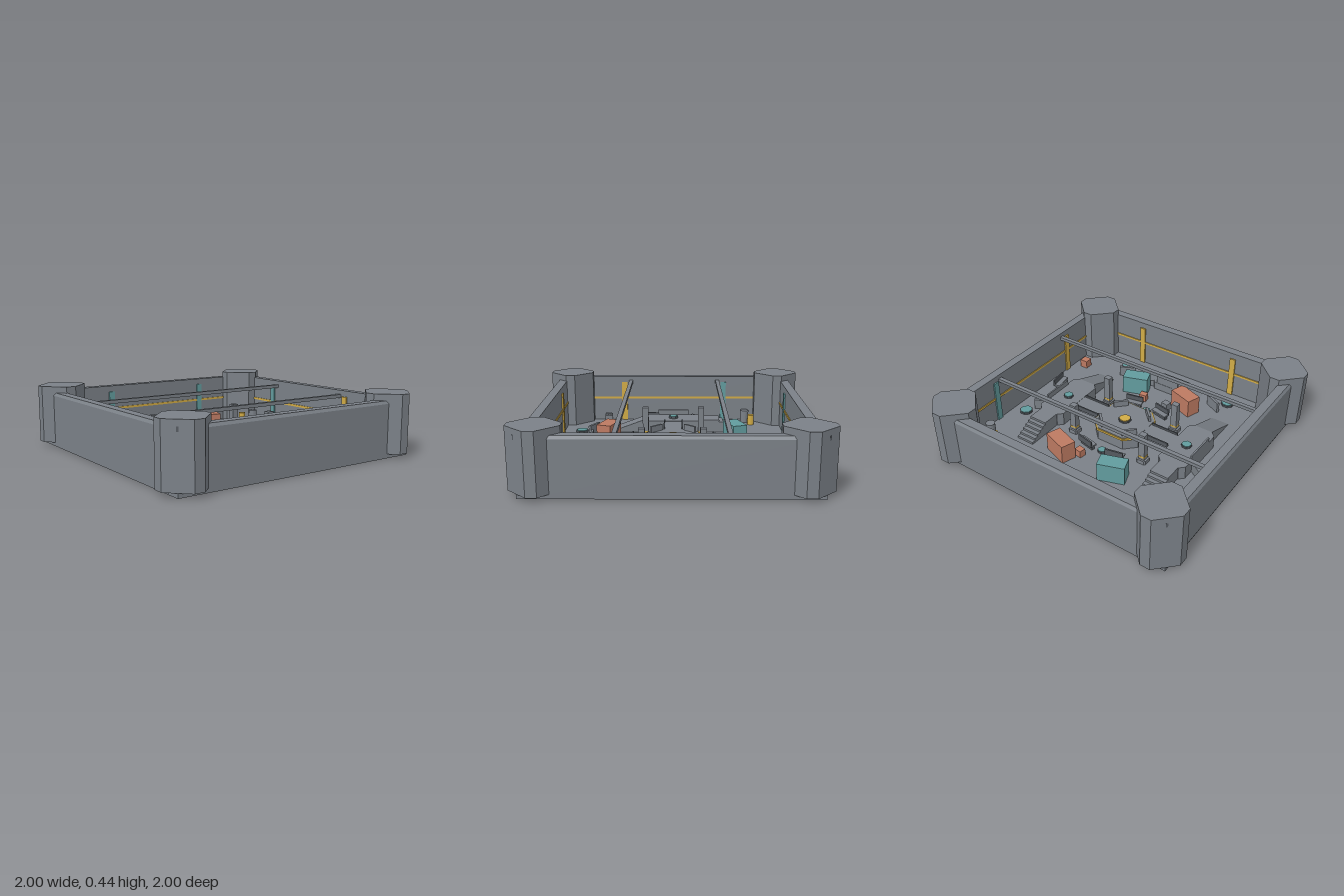
import * as THREE from 'three';

const paint = (name, color) => {
  const m = new THREE.MeshStandardMaterial({ color });
  m.name = name;
  return m;
};

export function createModel() {
  const grey = paint('concrete grey', 0x7b8188);
  const dark = paint('dark steel', 0x54595f);
  const teal = paint('teal', 0x629c9e);
  const salmon = paint('salmon', 0xbd7a62);
  const yellow = paint('yellow', 0xd2ac46);
  const model = new THREE.Group();
  const FLOOR = 0.03, DECK = 0.13;

  const add = (name, geo, mat, x = 0, y = 0, z = 0, deg = 0, parent = model) => {
    const mesh = new THREE.Mesh(geo, mat);
    mesh.name = name;
    mesh.position.set(x, y, z);
    mesh.rotation.y = THREE.MathUtils.degToRad(deg);
    parent.add(mesh);
    return mesh;
  };
  // Box standing on height y
  const box = (name, mat, w, h, d, x, y, z, deg, parent) =>
    add(name, new THREE.BoxGeometry(w, h, d), mat, x, y + h / 2, z, deg, parent);
  // Faceted drum standing on height y
  const drum = (name, mat, r, h, x, y, z, sides = 8, rTop = r) => {
    const geo = new THREE.CylinderGeometry(rTop, r, h, sides).toNonIndexed();
    geo.computeVertexNormals();
    geo.rotateY(Math.PI / sides);
    return add(name, geo, mat, x, y + h / 2, z);
  };
  const shapeOf = pts => new THREE.Shape(pts.map(p => new THREE.Vector2(p[0], p[1])));
  // Plan outline [x, z] raised from y0 to y1
  const slab = (name, mat, pts, y0, y1, x = 0, z = 0) => {
    const geo = new THREE.ExtrudeGeometry(shapeOf(pts.map(p => [p[0], -p[1]])), { depth: y1 - y0, bevelEnabled: false });
    geo.rotateX(-Math.PI / 2);
    return add(name, geo, mat, x, y0, z);
  };
  // Side profile [z, y] swept along x
  const sweep = (pts, width) => {
    const geo = new THREE.ExtrudeGeometry(shapeOf(pts), { depth: width, bevelEnabled: false });
    geo.translate(0, 0, -width / 2);
    return geo.rotateY(-Math.PI / 2);
  };
  // Rectangle with cut corners
  const cutRect = (a, b, ca, cb = ca) => [
    [a, b - cb], [a - ca, b], [ca - a, b], [-a, b - cb],
    [-a, cb - b], [ca - a, -b], [a - ca, -b], [a, cb - b]];

  // Floor
  box('floor', grey, 1.87, FLOOR, 1.87, 0, 0, 0);

  // Four walls with light strips and wall posts
  const wallProfile = [[0.86, 0.01], [0.938, 0.01], [0.938, 0.375], [0.925, 0.395], [0.86, 0.395]];
  for (let i = 0; i < 4; i++) {
    const side = new THREE.Group();
    side.name = 'wallSide';
    side.rotation.y = i * Math.PI / 2;
    model.add(side);
    add('wall', sweep(wallProfile, 1.68), grey, 0, 0, 0, 0, side);
    box('wallStrip', yellow, 1.36, 0.016, 0.008, 0, 0.21, 0.857, 0, side);
    for (const s of [-1, 1]) {
      const front = i === 0 || (i === 1 && s < 0) || (i === 3 && s > 0);
      box('wallPost', front ? yellow : teal, 0.045, 0.32, 0.012, s * 0.41, FLOOR, 0.855, 0, side);
    }
  }

  // Corner towers with a slot on the outer face
  for (const sx of [-1, 1]) for (const sz of [-1, 1]) {
    slab('cornerTower', grey, cutRect(0.168, 0.168, 0.133), FLOOR, 0.44, sx * 0.832, sz * 0.832);
    box('towerSlot', dark, 0.012, 0.03, 0.006, sx * 0.932, 0.37, sz * 0.932, sx * sz * 45);
  }

  // Overhead beams
  for (const z of [-0.36, 0.355]) box('overheadBeam', grey, 1.72, 0.025, 0.03, 0, 0.34, z);

  // Central octagonal deck with a yellow edge
  slab('centralDeck', grey, cutRect(0.187, 0.187, 0.08), FLOOR, DECK);
  slab('deckEdge', yellow, cutRect(0.195, 0.195, 0.083), DECK - 0.02, DECK - 0.004);
  drum('centralPad', dark, 0.048, 0.012, 0, DECK, 0);
  drum('centralPadTop', yellow, 0.04, 0.008, 0, DECK + 0.01, 0);

  for (const s of [-1, 1]) {
    // Bridges and rails
    box('bridge', grey, 0.24, 0.02, 0.13, s * 0.3, DECK - 0.022, 0);
    for (const t of [-1, 1])
      box('bridgeRail', dark, 0.215, 0.035, 0.01, s * 0.3, DECK - 0.022, t * 0.068);

    // Side decks
    slab('sideDeck', grey, cutRect(0.108, 0.232, 0.035), FLOOR, DECK, s * 0.522, 0);
    box('sideRail', grey, 0.012, 0.05, 0.24, s * 0.625, DECK - 0.01, 0);

    // Stairs behind and ramp in front of each side deck
    const steps = 6, stair = [[-0.2, FLOOR], [-0.51, FLOOR]];
    for (let i = 0; i < steps; i++) {
      const y = FLOOR + (i + 1) * (DECK - FLOOR) / steps;
      stair.push([-0.51 + i * 0.03, y], [i < steps - 1 ? -0.48 + i * 0.03 : -0.2, y]);
    }
    add('stairs', sweep(stair, 0.14), grey, s * 0.522, 0, 0);
    add('ramp', sweep([[0.2, FLOOR], [0.5, FLOOR], [0.23, DECK], [0.2, DECK]], 0.14), grey, s * 0.522, 0, 0);

    // Ramps of the front deck
    const end = new THREE.ExtrudeGeometry(
      shapeOf([[s * 0.12, FLOOR], [s * 0.245, FLOOR], [s * 0.13, 0.09], [s * 0.12, 0.09]]),
      { depth: 0.12, bevelEnabled: false });
    add('frontRamp', end, grey, 0, 0, 0.6);

    // Barrels, angled barriers and side benches
    drum('yellowBarrel', yellow, 0.026, 0.08, s * 0.7, FLOOR, -0.63, 12);
    drum('greyBarrel', grey, 0.034, 0.1, s * 0.78, FLOOR, -0.585, 16);
    box('barrier', grey, 0.12, 0.08, 0.02, s * 0.675, FLOOR, -0.13, -s * -33);
    box('barrier', grey, 0.13, 0.08, 0.02, s * 0.395, FLOOR, 0.615, s * 27);
  }

  // Front deck
  slab('frontDeck', grey, cutRect(0.13, 0.075, 0.015), FLOOR, 0.09, 0, 0.655);
  box('barrier', grey, 0.19, 0.06, 0.016, 0, 0.09, 0.59);
  box('barrier', grey, 0.22, 0.08, 0.024, 0, FLOOR, -0.63);

  // Bench: seat, back and base
  const bench = (x, z, deg) => {
    const g = new THREE.Group();
    g.name = 'bench';
    g.position.set(x, FLOOR, z);
    g.rotation.y = THREE.MathUtils.degToRad(deg);
    model.add(g);
    box('benchBase', dark, 0.12, 0.03, 0.025, 0, 0, 0, 0, g);
    box('benchSeat', grey, 0.135, 0.012, 0.042, 0, 0.03, 0.006, 0, g);
    box('benchBack', dark, 0.135, 0.05, 0.012, 0, 0.03, -0.02, 0, g);
  };
  for (const s of [-1, 1]) bench(s * 0.755, 0.19, s * -82);

  for (const sx of [-1, 1]) for (const sz of [-1, 1]) {
    const sign = sx * sz;
    bench(sx * 0.12, sz * 0.295, sign * 12 + (sz > 0 ? 180 : 0));
    box('deckBarrier', grey, 0.11, 0.045, 0.018, sx * 0.122, DECK, sz * 0.125, sign * 45);

    // Square pillars on yellow-edged footings
    slab('pillarFooting', grey, cutRect(0.037, 0.035, 0.01), FLOOR, 0.06, sx * 0.298, sz * 0.21);
    box('pillar', grey, 0.048, 0.21, 0.044, sx * 0.298, 0.06, sz * 0.21);
    box('pillarBand', yellow, 0.05, 0.012, 0.046, sx * 0.298, 0.075, sz * 0.21);

    // Containers with end ribs
    const paintwork = sign * sz < 0 ? teal : salmon;
    const mat = sz < 0 ? (sx < 0 ? teal : salmon) : (sx < 0 ? salmon : teal);
    const z = sz < 0 ? -0.465 : 0.485;
    box('container', mat || paintwork, 0.195, 0.14, 0.11, sx * 0.222, FLOOR, z, sign * 19);

    // Small crates
    const crateMat = sx < 0 && sz > 0 ? grey : salmon;
    box('crate', crateMat, 0.055, 0.055, 0.05, sx * 0.103, FLOOR, sz * 0.405, sign * 10);
  }
  box('crate', grey, 0.03, 0.03, 0.03, -0.145, FLOOR, -0.385, 10);
  box('crate', salmon, 0.062, 0.062, 0.062, 0.765, FLOOR, 0.535);
  box('crate', grey, 0.062, 0.062, 0.062, -0.765, FLOOR, 0.535, 4);
  box('crateLid', grey, 0.042, 0.015, 0.042, -0.765, FLOOR + 0.062, 0.535, 35);

  // Teal marker pads: [x, z, radius, height]
  for (const [x, z, r, y] of [
    [0, -0.745, 0.05, FLOOR], [-0.755, -0.23, 0.05, FLOOR], [0.755, -0.23, 0.05, FLOOR],
    [-0.465, 0.72, 0.05, FLOOR], [0.465, 0.72, 0.05, FLOOR],
    [0, -0.285, 0.033, FLOOR], [0, 0.285, 0.033, FLOOR],
    [-0.52, 0, 0.037, DECK], [0.52, 0, 0.037, DECK]]) {
    drum('padRim', dark, r, 0.014, x, y, z);
    drum('padTop', teal, r * 0.88, 0.008, x, y + 0.01, z);
  }
  return model;
}
